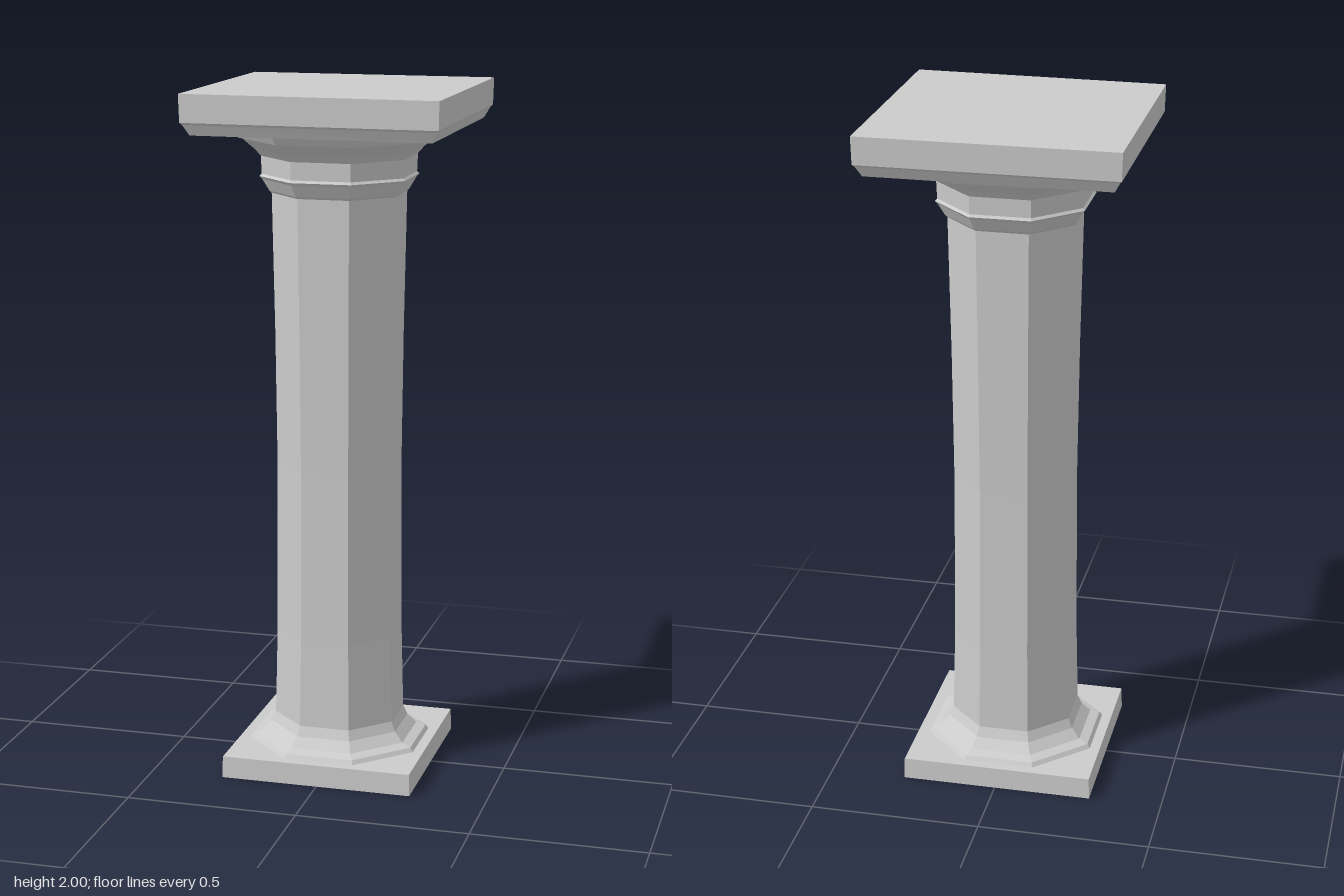
import * as THREE from 'three';

const stone = new THREE.MeshStandardMaterial({ color: 0xcccccc, flatShading: true, side: THREE.DoubleSide });

// Prism skin from a profile of [distance to the flat side, height], one flat side facing front
function facetedLathe(profile, sides) {
  const k = 1 / Math.cos(Math.PI / sides);
  const points = profile.map(([r, y]) => new THREE.Vector2(r * k, y));
  return new THREE.LatheGeometry(points, sides, Math.PI / sides);
}

function polygonPoints(apothem, sides) {
  const r = apothem / Math.cos(Math.PI / sides);
  return Array.from({ length: sides }, (_, i) => {
    const a = (i + 0.5) * 2 * Math.PI / sides;
    return new THREE.Vector2(r * Math.sin(a), r * Math.cos(a));
  });
}

// Horizontal square plate with an octagonal hole where the hollow shaft joins
function squareRing(half, hole, y, facing) {
  const shape = new THREE.Shape(polygonPoints(half, 4));
  shape.holes.push(new THREE.Path(polygonPoints(hole, 8)));
  return new THREE.ShapeGeometry(shape).rotateX(-facing * Math.PI / 2).translate(0, y, 0);
}

// Hand-hewn unevenness: move each vertex by a rule
function warp(geometry, rule) {
  const pos = geometry.attributes.position;
  const v = new THREE.Vector3();
  for (let i = 0; i < pos.count; i++) {
    rule(v.fromBufferAttribute(pos, i));
    pos.setXYZ(i, v.x, v.y, v.z);
  }
  geometry.computeVertexNormals();
  return geometry;
}

export function createModel() {
  const column = new THREE.Group();
  column.name = 'column';
  const add = (name, geometry) => {
    const mesh = new THREE.Mesh(geometry, stone);
    mesh.name = name;
    column.add(mesh);
  };
  const lean = v => { v.x -= 0.004; };

  // Square plinth, open underneath
  add('plinthSides', warp(facetedLathe([[0.282, 0], [0.28, 0.064]], 4), lean));
  add('plinthTop', warp(squareRing(0.28, 0.25, 0.064, 1), lean));

  // Octagonal base moulding
  add('baseMoulding', warp(facetedLathe([
    [0.25, 0.064], [0.242, 0.076], [0.215, 0.085], [0.19, 0.113], [0.178, 0.142],
  ], 8), lean));

  // Slightly waisted octagonal shaft
  add('shaft', warp(facetedLathe([
    [0.178, 0.142], [0.172, 0.4], [0.169, 0.9], [0.173, 1.3], [0.18, 1.7],
  ], 8), lean));

  // Octagonal capital: collar, neck and flaring bell
  add('capital', warp(facetedLathe([
    [0.18, 1.7], [0.186, 1.706], [0.205, 1.74], [0.212, 1.748], [0.206, 1.755],
    [0.208, 1.806], [0.224, 1.825], [0.258, 1.857], [0.268, 1.858], [0.284, 1.885],
  ], 8), lean));

  // Square abacus with a sloping lower step; its front edge is a little askew
  const askew = v => { if (v.z > 0) v.z -= 0.016 * (0.5 - v.x / 0.73) * v.z / 0.365; };
  add('abacusUnderside', warp(squareRing(0.342, 0.284, 1.885, -1), askew));
  add('abacus', warp(facetedLathe([
    [0.342, 1.885], [0.358, 1.915], [0.364, 1.921], [0.366, 2], [0, 2],
  ], 4), askew));

  return column;
}
